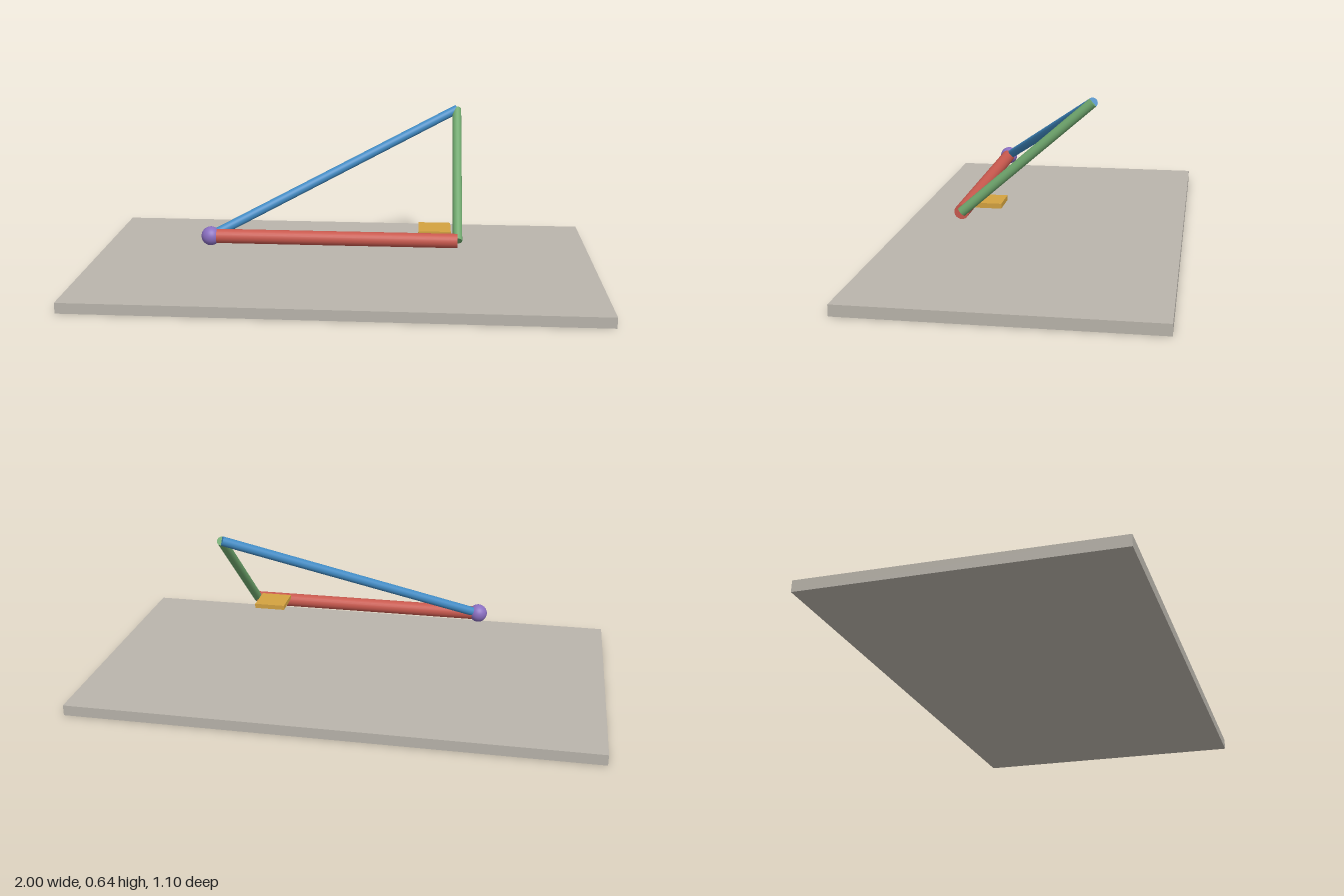
import * as THREE from 'three';

function material(name, color) {
  const m = new THREE.MeshStandardMaterial({ color });
  m.name = name;
  return m;
}

// Straight round rod between two points
function rod(name, from, to, radius, mat) {
  const dir = to.clone().sub(from);
  const mesh = new THREE.Mesh(new THREE.CylinderGeometry(radius, radius, dir.length(), 24), mat);
  mesh.position.copy(from).add(to).multiplyScalar(0.5);
  mesh.quaternion.setFromUnitVectors(new THREE.Vector3(0, 1, 0), dir.normalize());
  mesh.name = name;
  return mesh;
}

function block(name, size, position, mat) {
  const mesh = new THREE.Mesh(new THREE.BoxGeometry(...size), mat);
  mesh.position.set(...position);
  mesh.name = name;
  return mesh;
}

export function createModel() {
  const group = new THREE.Group();
  group.name = 'rightTriangleOnBase';

  const stone = material('warm grey', 0xbab5ac);
  const red = material('red', 0xc9594e);
  const green = material('green', 0x70a86e);
  const blue = material('blue', 0x418bc4);
  const purple = material('purple', 0x8a6fc0);
  const gold = material('gold', 0xd3a240);

  // Triangle corners
  const pivot = new THREE.Vector3(-0.483, 0.208, 0.234);
  const corner = new THREE.Vector3(0.45, 0.208, 0.234);
  const apex = new THREE.Vector3(0.45, 0.621, -0.238);

  group.add(block('base', [2, 0.041, 1.1], [0, 0.0205, 0], stone));

  // Three sides of the triangle
  group.add(rod('adjacentSide', pivot, corner, 0.027, red));
  group.add(rod('oppositeSide', corner, apex, 0.018, green));
  group.add(rod('hypotenuse', pivot, apex, 0.018, blue));

  // Ball at the angle
  const ball = new THREE.Mesh(new THREE.SphereGeometry(0.036, 32, 20), purple);
  ball.position.copy(pivot);
  ball.name = 'angleBall';
  group.add(ball);

  // Square marker at the right angle
  group.add(block('rightAngleMarker', [0.122, 0.018, 0.122], [0.364, 0.228, 0.154], gold));

  return group;
}
